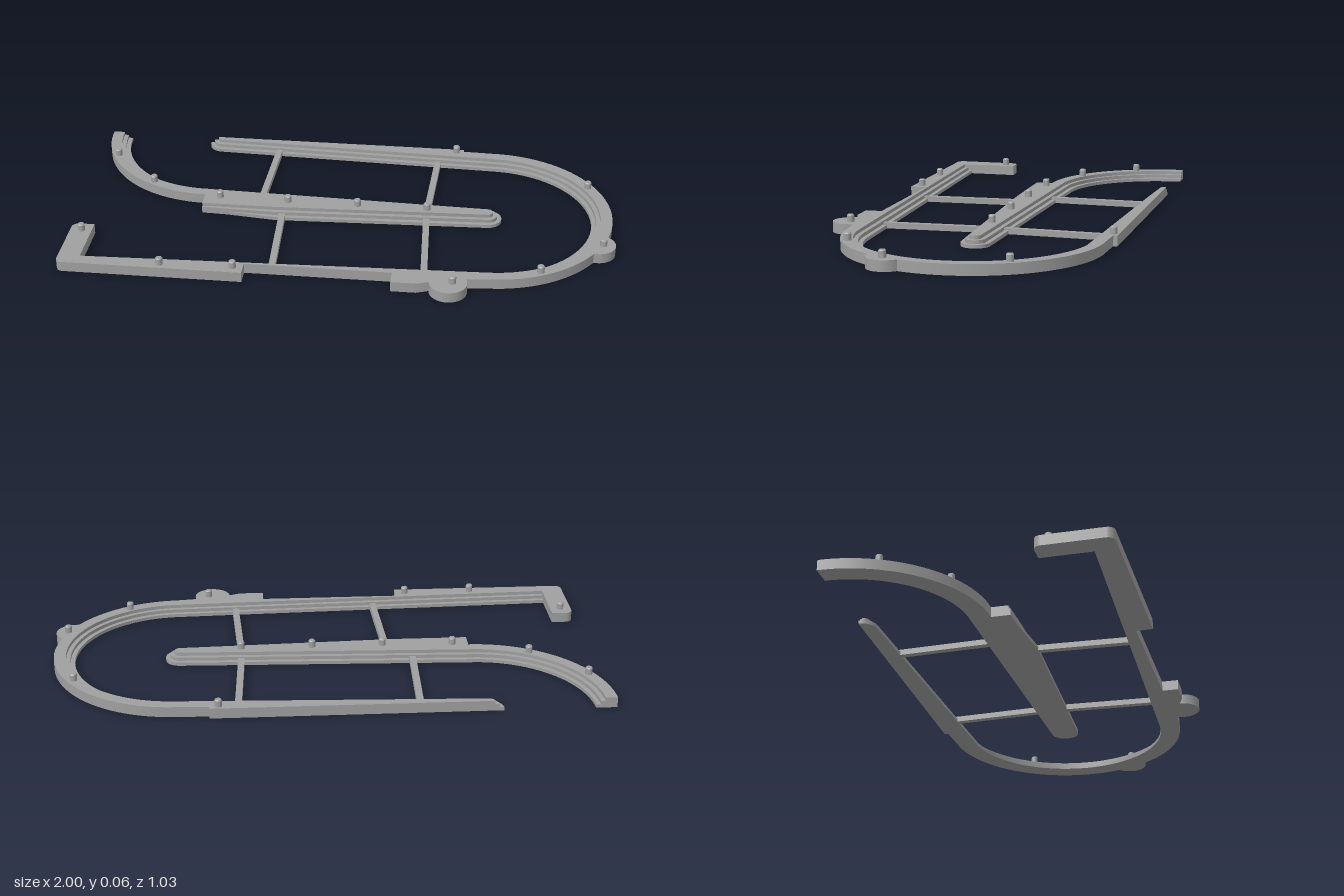
import * as THREE from 'three';
import { toCreasedNormals } from 'three/addons/utils/BufferGeometryUtils.js';

const TOP = 0.038, STEPS = 3, LEDGE = 0.016;

// Points along an arc in the x/z plane, angles in degrees
function arc(cx, cz, r, a0, a1, n = 12) {
  const pts = [];
  for (let i = 0; i <= n; i++) {
    const a = THREE.MathUtils.degToRad(a0 + (a1 - a0) * i / n);
    pts.push([cx + r * Math.cos(a), cz + r * Math.sin(a)]);
  }
  return pts;
}

// Plan of the U-shaped rail; d sets back its inner edge
const outerRail = d => [
  [0.42, -0.52], [0.42, -0.505],
  ...arc(0.535, -0.045, 0.456, -90, 15, 28),
  ...arc(0.932, 0.137, 0.066, -53, 95, 14),          // side lug
  ...arc(0.535, -0.045, 0.456, 33, 88, 16),
  ...arc(0.41, 0.447, 0.067, -24, 178, 18),          // front lug
  [0.3, 0.465], [0.21, 0.465], [0.21, 0.405], [-0.315, 0.405], [-0.315, 0.465],
  ...arc(-0.96, 0.44, 0.025, 90, 180, 5),            // hooked end
  ...arc(-0.96, 0.225, 0.025, 180, 270, 5),
  [-0.905, 0.2], [-0.905, 0.385 + d],
  ...arc(0.535, -0.045, 0.38 + d, 88, -88, 44),
  ...arc(-0.55, -0.52, 0.052 - d, 90, 180, 8),       // rounded tip
];

// Plan of the curved arm and its long tongue
const centreRail = d => [
  ...arc(-0.54, -0.52, 0.46, 90, 180, 28),
  ...arc(-0.54, -0.52, 0.385 + d, 180, 90, 28).map(([x, z]) => [x, z]),
  ...arc(0.53, -0.048, 0.052 - d, -88, 88, 16),      // round tongue end
  [-0.26, 0.035 - d], [-0.45, Math.min(0.014, 0.035 - d)], [-0.54, Math.min(0.01, 0.035 - d)],
];

export function createModel() {
  const model = new THREE.Group();
  model.name = 'railFrame';
  const grey = new THREE.MeshStandardMaterial({ color: 0xa0a0a0 });
  grey.name = 'grey';

  const add = (geometry, name, parent = model) => {
    const mesh = new THREE.Mesh(geometry, grey);
    mesh.name = name;
    parent.add(mesh);
    return mesh;
  };

  // Each rail is a stack of layers forming a stepped inner edge
  function steppedRail(plan, name) {
    const group = new THREE.Group();
    group.name = name;
    const h = TOP / STEPS;
    for (let i = 0; i < STEPS; i++) {
      const shape = new THREE.Shape(plan(i * LEDGE).map(([x, z]) => new THREE.Vector2(x, z)));
      const geometry = new THREE.ExtrudeGeometry(shape, { depth: h, bevelEnabled: false });
      geometry.rotateX(Math.PI / 2).translate(0, (i + 1) * h, 0);
      add(toCreasedNormals(geometry, 0.5), name + 'Layer', group);
    }
    model.add(group);
  }
  steppedRail(outerRail, 'outerRail');
  steppedRail(centreRail, 'centreRail');

  // Cross struts: x, z at each end
  const struts = [
    [-0.315, -0.47, -0.327, -0.1], [0.32, -0.445, 0.304, -0.085],
    [-0.235, 0.015, -0.22, 0.375], [0.304, -0.005, 0.32, 0.355],
  ];
  for (const [x0, z0, x1, z1] of struts) {
    const strut = add(new THREE.BoxGeometry(0.024, 0.021, Math.hypot(x1 - x0, z1 - z0)), 'strut');
    strut.position.set((x0 + x1) / 2, 0.0105, (z0 + z1) / 2);
    strut.rotation.y = Math.atan2(x1 - x0, z1 - z0);
  }

  // Locating pegs with chamfered tops
  const profile = [[0.013, 0], [0.013, 0.023], [0.01, 0.027], [0, 0.027]];
  const peg = toCreasedNormals(
    new THREE.LatheGeometry(profile.map(([r, y]) => new THREE.Vector2(r, y)), 16), 0.5);
  const pegs = [
    [0.39, -0.5], [0.903, -0.27], [0.953, 0.14], [0.73, 0.342], [0.425, 0.445],
    [-0.352, 0.43], [-0.613, 0.438], [-0.943, 0.243], [-0.936, -0.33], [-0.753, -0.139],
    [-0.48, -0.05], [-0.22, -0.043], [0.042, -0.043], [0.304, -0.043],
  ];
  for (const [x, z] of pegs) add(peg, 'peg').position.set(x, TOP, z);

  return model;
}
